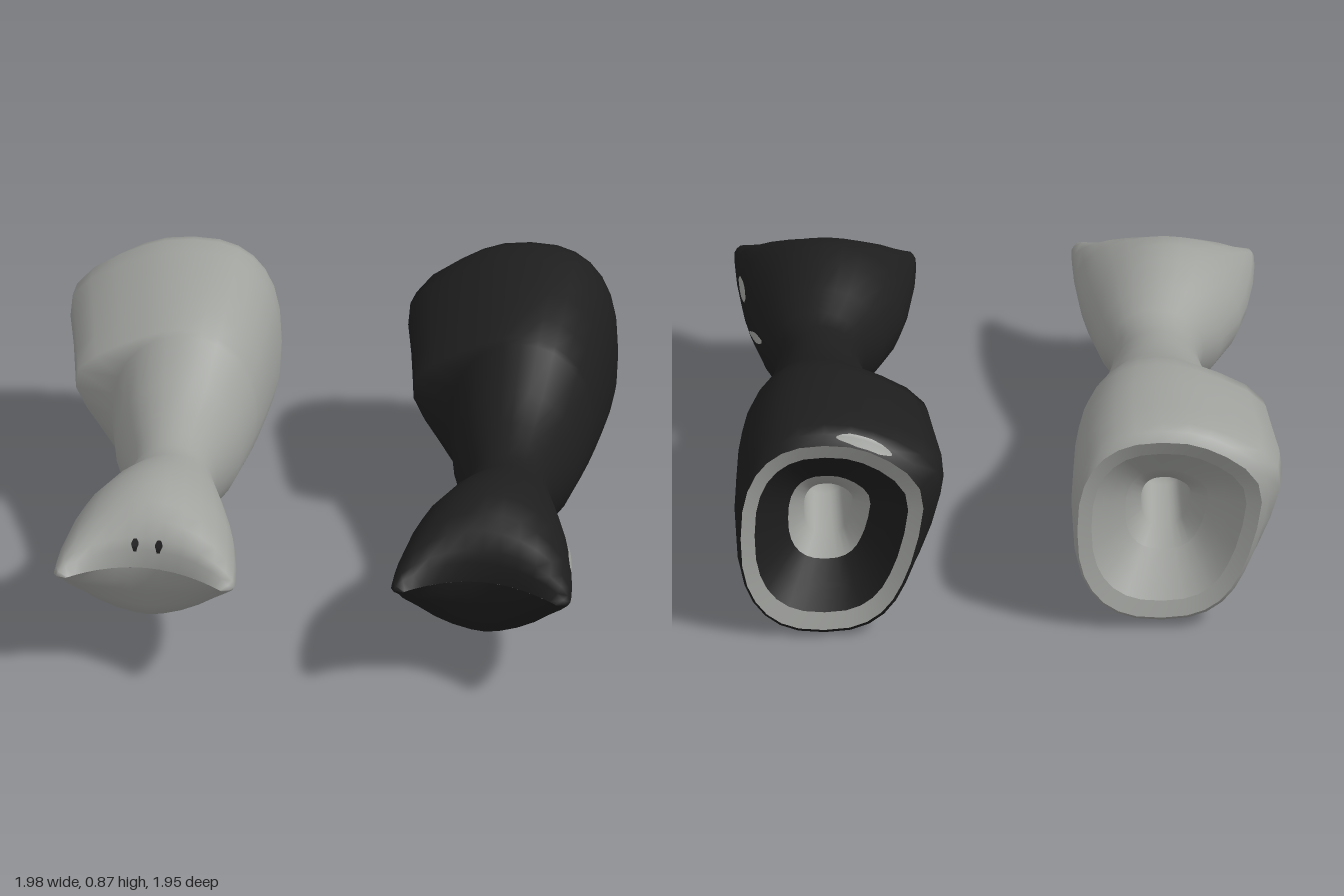
import * as THREE from 'three';

const { smoothstep, lerp } = THREE.MathUtils;
const ANGLES = Array.from({ length: 28 }, (_, j) => (j / 28) * Math.PI * 2);

// Body sections, back to front: z, x min, x max, y min, y max
const SECTIONS = [
  [-0.97, 0.37, 0.975, 0.03, 0.82],
  [-0.945, 0.355, 0.985, 0.005, 0.855],
  [-0.9, 0.35, 0.99, 0, 0.868],
  [-0.8, 0.355, 0.992, 0.035, 0.872],
  [-0.6, 0.38, 0.978, 0.075, 0.852],
  [-0.45, 0.395, 0.96, 0.085, 0.832],
  [-0.35, 0.405, 0.942, 0.088, 0.795],
  [-0.325, 0.415, 0.935, 0.09, 0.782],
  [-0.15, 0.44, 0.892, 0.105, 0.685],
  [0, 0.475, 0.847, 0.165, 0.64],
  [0.1, 0.5, 0.82, 0.225, 0.618],
  [0.18, 0.508, 0.812, 0.258, 0.602],
  [0.26, 0.486, 0.832, 0.245, 0.61],
  [0.36, 0.415, 0.865, 0.165, 0.645],
  [0.5, 0.345, 0.9, 0.12, 0.678],
  [0.6, 0.315, 0.92, 0.12, 0.682],
  [0.69, 0.293, 0.935, 0.16, 0.658],
  [0.75, 0.285, 0.94, 0.235, 0.615],
  [0.79, 0.285, 0.94, 0.32, 0.555],
  [0.812, 0.295, 0.925, 0.37, 0.515],
  [0.82, 0.33, 0.895, 0.44, 0.44],
];

// Points around a section: squarer toward the back with a side ridge,
// narrower below and with the sides bowed forward at the front
function ring([z, x0, x1, y0, y1], angles = ANGLES) {
  const back = smoothstep(-z, 0, 0.95), front = smoothstep(z, 0.2, 0.6);
  const ridge = 0.14 * smoothstep(-z, 0.325, 0.35) * (1 - 0.5 * smoothstep(-z, 0.86, 0.97));
  const bow = 0.125 * smoothstep(z, 0.55, 0.82);
  return angles.map((a) => {
    const power = 2 / (2 + 0.5 * back - (Math.sin(a) < 0 ? 0.35 : 0.15) * front);
    const round = (v) => Math.sign(v) * Math.abs(v) ** power;
    const u = round(Math.cos(a));
    const bump = ridge * Math.max(0, Math.cos(a - 2.75)) ** 7;
    return new THREE.Vector3(
      (x0 + x1) / 2 + (u * (x1 - x0)) / 2 - bump,
      (y0 + y1) / 2 + (round(Math.sin(a)) * (y1 - y0)) / 2,
      z + bow * (u * u + 0.25 * u));
  });
}

// Back ring shrunk toward the opening and pushed inward
function inset(sections, scale, z) {
  const [, x0, x1, y0, y1] = sections[0];
  const centre = new THREE.Vector3((x0 + x1) / 2 - 0.018, (y0 + y1) / 2, 0);
  return ring(sections[0]).map((p) => p.sub(centre).multiplyScalar(scale).add(centre).setZ(z));
}

// Skin a list of rings, closed around or open as a strip
function loft(rings, closed = true) {
  const n = rings[0].length;
  const index = [];
  for (let i = 0; i < rings.length - 1; i++) {
    for (let j = 0; j < (closed ? n : n - 1); j++) {
      const a = i * n + j, b = i * n + ((j + 1) % n);
      index.push(a, b, b + n, a, b + n, a + n);
    }
  }
  const g = new THREE.BufferGeometry().setFromPoints(rings.flat());
  g.setIndex(index);
  g.computeVertexNormals();
  return g;
}

// Thin spot lying on the surface, running from z0 to z1 while its angle goes from a0 to a1
function patch(sections, z0, z1, a0, a1, halfAngle) {
  const rings = [];
  for (let i = 0; i <= 6; i++) {
    const t = i / 6, z = lerp(z0, z1, t);
    const k = sections.findIndex((s) => s[0] >= z);
    const [from, to] = [sections[k - 1], sections[k]];
    const f = (z - from[0]) / (to[0] - from[0]);
    const [, x0, x1, y0, y1] = from.map((v, c) => lerp(v, to[c], f));
    const half = halfAngle * (0.4 + 0.6 * Math.sin(Math.PI * t));
    const angles = [-1, -0.5, 0, 0.5, 1].map((s) => lerp(a0, a1, t) + s * half);
    rings.push(ring([z, x0 - 0.005, x1 + 0.005, y0 - 0.005, y1 + 0.005], angles));
  }
  return loft(rings, false);
}

function add(group, name, geometry, material) {
  const mesh = new THREE.Mesh(geometry, material);
  mesh.name = name;
  group.add(mesh);
  return mesh;
}

// Sleeve with its rim, funnel and inner tube
function sleeve(name, sections, outer, lining) {
  const g = new THREE.Group();
  g.name = name;
  const back = sections[0][0];
  const hole = (scale, depth) => inset(sections, scale, back + depth);
  add(g, 'body', loft(sections.map((s) => ring(s))), outer);
  add(g, 'rim', loft([hole(0.84, 0.02), hole(1, 0)]), lining);
  add(g, 'funnel', loft([hole(0.45, 0.14), hole(0.65, 0.08), hole(0.84, 0.02)]), outer);
  add(g, 'innerTube', loft([hole(0.02, 0.47), hole(0.24, 0.45), hole(0.27, 0.2), hole(0.45, 0.14)]), lining);
  return g;
}

export function createModel() {
  const grey = new THREE.MeshStandardMaterial({ color: 0xa0a29e });
  grey.name = 'grey';
  const black = new THREE.MeshStandardMaterial({ color: 0x1e1e1e });
  black.name = 'black';

  const model = new THREE.Group();
  model.name = 'sleevePair';

  // Black sleeve with worn spots on its outer side and back edge
  const dark = sleeve('blackSleeve', SECTIONS, black, grey);
  add(dark, 'wornSpot', patch(SECTIONS, 0.58, 0.675, 0.23, 0.23, 0.08), grey);
  add(dark, 'wornSpot', patch(SECTIONS, 0.335, 0.475, 0.13, -0.04, 0.08), grey);
  add(dark, 'wornEdge', patch(SECTIONS, -0.969, -0.942, 2, 1.9, 0.3), grey);
  model.add(dark);

  // The grey sleeve is slightly slimmer and shorter
  const slimmer = SECTIONS.map(([z, x0, x1, y0, y1]) => [
    z * 0.985 - 0.005, x0 - 1.225, x1 - 1.22, y0 * 0.95 + 0.025, y1 * 0.95 + 0.025]);
  const light = sleeve('greySleeve', slimmer, grey, grey);
  // Small pits above the front lip
  for (const angle of [1.4, 1.71]) {
    const pit = add(light, 'pit', patch(slimmer, 0.776, 0.796, angle, angle, 0.045), black);
    pit.position.z = 0.005;
  }
  model.add(light);
  return model;
}
